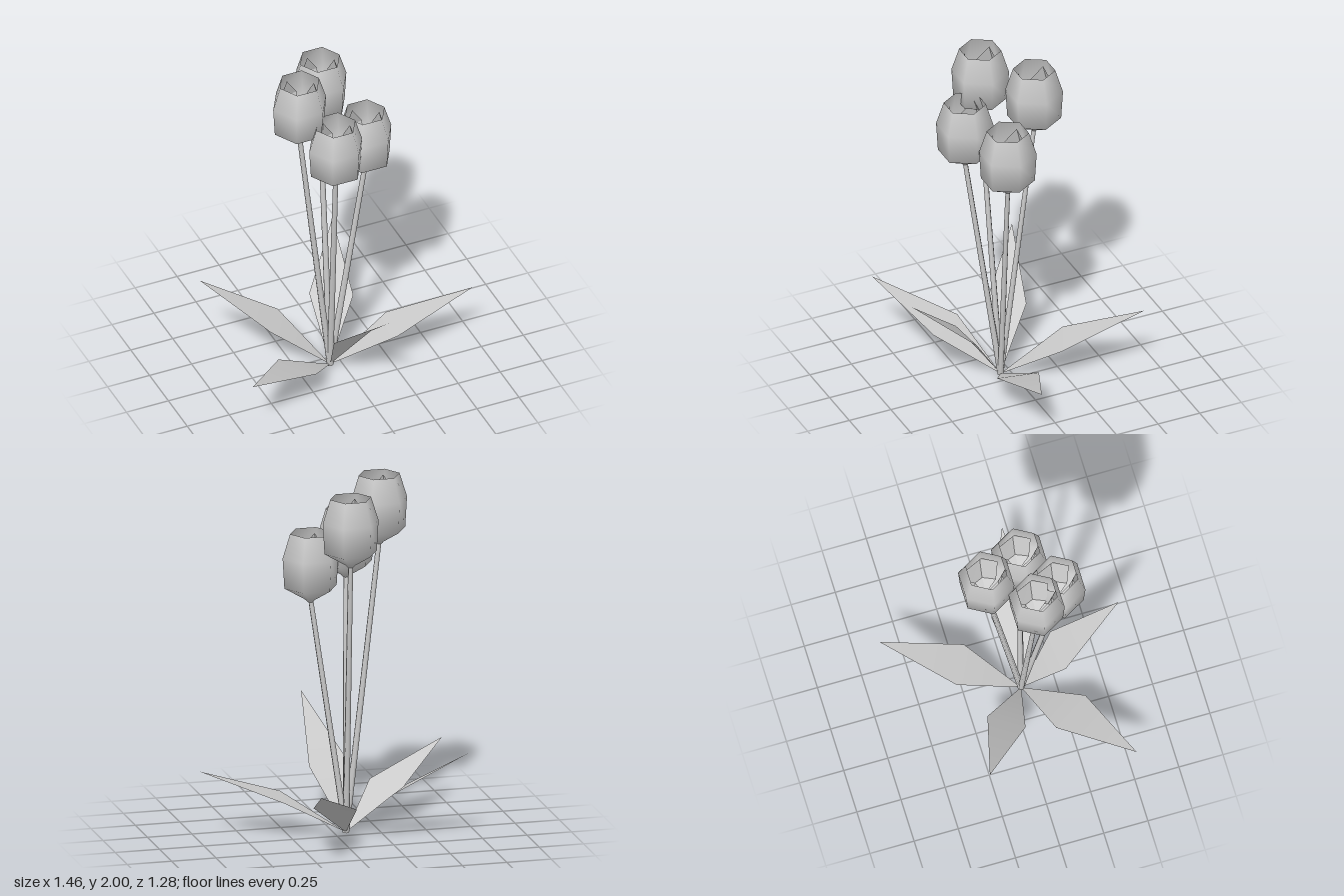
import * as THREE from 'three';

const grey = new THREE.MeshStandardMaterial({ color: 0xcccccc, side: THREE.DoubleSide });
grey.name = 'plain grey';

const BASE = [-0.065, 0.005, 0.06];

// Open surface from corner points and triangles
function surface(points, faces) {
  const g = new THREE.BufferGeometry();
  g.setAttribute('position', new THREE.Float32BufferAttribute(points.flat(), 3));
  g.setIndex(faces.flat());
  g.computeVertexNormals();
  return g;
}

function addMesh(parent, geometry, name) {
  const m = new THREE.Mesh(geometry, grey);
  m.name = name;
  parent.add(m);
  return m;
}

// Six-sided cup, measured down from the rim
const cupProfile = [[0.016, -0.39], [0.03, -0.375], [0.147, -0.305], [0.157, -0.135], [0.115, 0]]
  .map(([r, y]) => new THREE.Vector2(r, y));
const cupGeometry = new THREE.LatheGeometry(cupProfile, 6, Math.PI / 6);

// Inner petal pointing along +x: wide belly, pointed tip
const petalGeometry = surface([
  [0, -0.35, 0],
  [0.05, -0.32, -0.07], [0.08, -0.32, 0], [0.05, -0.32, 0.07],
  [0.085, -0.15, -0.09], [0.125, -0.15, 0], [0.085, -0.15, 0.09],
  [0.085, -0.025, 0],
], [
  [0, 2, 1], [0, 3, 2],
  [1, 2, 5], [1, 5, 4], [2, 3, 6], [2, 6, 5],
  [4, 5, 7], [5, 6, 7],
]).toNonIndexed();
petalGeometry.computeVertexNormals();

// Flower heads: x, rim height, z
const heads = [
  [-0.26, 2.0, 0.09],
  [-0.04, 1.94, -0.13],
  [-0.117, 1.78, 0.25],
  [0.122, 1.695, 0.105],
];

// Leaves: left corner, tip, right corner
const leaves = [
  [[-0.03, 0.23, -0.295], [0.265, 0.41, -0.645], [0.185, 0.225, -0.19]],
  [[0.295, 0.207, 0], [0.725, 0.37, 0.187], [0.26, 0.215, 0.235]],
  [[0.085, 0.33, 0.27], [0.03, 0.655, 0.64], [-0.145, 0.33, 0.29]],
  [[-0.28, 0.21, 0.36], [-0.73, 0.37, 0.517], [-0.415, 0.21, 0.155]],
  [[-0.385, 0.27, -0.01], [-0.68, 0.515, -0.3], [-0.265, 0.27, -0.19]],
];

// Thin straight stem between two points
function stemGeometry(from, to) {
  const a = new THREE.Vector3(...from), b = new THREE.Vector3(...to);
  const dir = b.clone().sub(a);
  const g = new THREE.CylinderGeometry(0.014, 0.018, dir.length(), 6, 1);
  g.applyQuaternion(new THREE.Quaternion().setFromUnitVectors(new THREE.Vector3(0, 1, 0), dir.normalize()));
  g.translate((a.x + b.x) / 2, (a.y + b.y) / 2, (a.z + b.z) / 2);
  return g;
}

export function createModel() {
  const model = new THREE.Group();
  model.name = 'flowerBunch';

  for (const [x, y, z] of heads) {
    const flower = new THREE.Group();
    flower.name = 'flower';
    model.add(flower);
    addMesh(flower, stemGeometry(BASE, [x, y - 0.37, z]), 'stem');

    const head = new THREE.Group();
    head.name = 'flowerHead';
    head.position.set(x, y, z);
    flower.add(head);
    addMesh(head, cupGeometry, 'outerPetals');
    for (let i = 0; i < 3; i++) {
      addMesh(head, petalGeometry, 'innerPetal').rotation.y = i * Math.PI * 2 / 3;
    }
  }

  for (const [left, tip, right] of leaves) {
    addMesh(model, surface([BASE, left, tip, right], [[0, 3, 1], [1, 3, 2]]), 'leaf');
  }
  return model;
}
